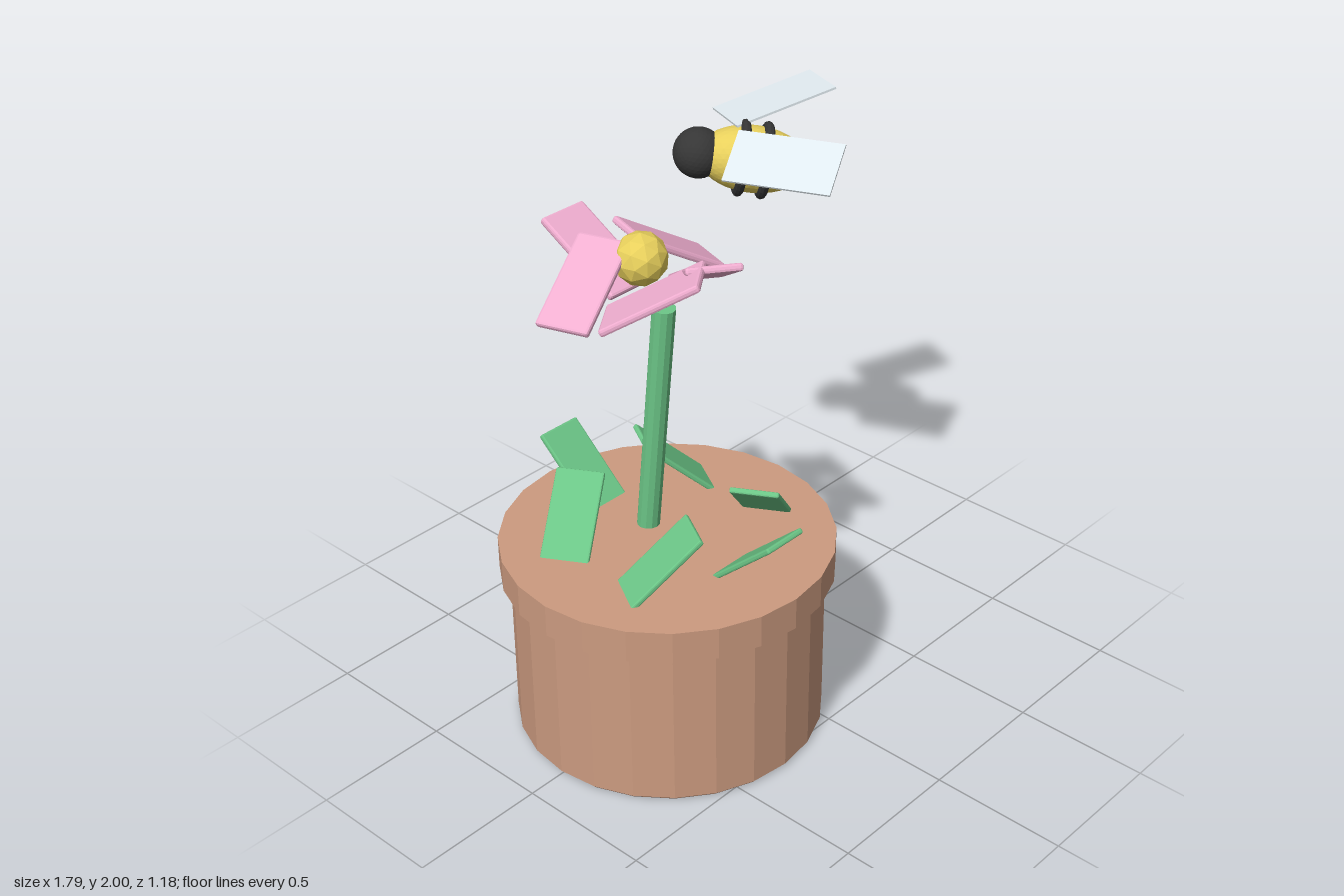
import * as THREE from 'three';
import { RoundedBoxGeometry } from 'three/addons/geometries/RoundedBoxGeometry.js';

const paint = (color) => new THREE.MeshStandardMaterial({ color, flatShading: true });
const clay = paint(0xcc9b80), green = paint(0x6cc687), pink = paint(0xf0aed0);
const yellow = paint(0xe8d05c), black = paint(0x363636), pale = paint(0xdfe9ee);

function add(parent, name, geometry, material, x = 0, y = 0, z = 0) {
  const mesh = new THREE.Mesh(geometry, material);
  mesh.name = name;
  mesh.position.set(x, y, z);
  parent.add(mesh);
  return mesh;
}

// Ring of tilted slabs; each one's raised end points along the mirrored ring angle.
function ring(parent, name, geometry, material, count, start, radius, y, z, tilt) {
  for (let i = 0; i < count; i++) {
    const a = start + (i * 2 * Math.PI) / count;
    const slab = add(parent, name, geometry, material, Math.sin(a) * radius, y, z + Math.cos(a) * radius);
    slab.rotation.set(-tilt, -a, 0, 'YXZ');
  }
}

// Thin wing laid along two edge vectors.
function wing(parent, name, centre, along, across) {
  const z = new THREE.Vector3(...along), x = new THREE.Vector3(...across);
  const mesh = add(parent, name, new THREE.BoxGeometry(x.length(), 0.008, z.length()), pale, ...centre);
  z.normalize();
  x.normalize();
  const y = z.clone().cross(x).normalize();
  x.crossVectors(y, z);
  mesh.quaternion.setFromRotationMatrix(new THREE.Matrix4().makeBasis(x, y, z));
}

export function createModel() {
  const root = new THREE.Group();
  root.name = 'flowerPotWithBee';

  const plant = new THREE.Group();
  plant.name = 'pottedFlower';
  plant.position.x = -0.305;
  root.add(plant);

  // Pot with rim, closed on top
  const profile = [[0, 0], [0.543, 0], [0.554, 0.012], [0.554, 0.62], [0.59, 0.62], [0.59, 0.74], [0, 0.74]]
    .map(([r, y]) => new THREE.Vector2(r, y));
  add(plant, 'pot', new THREE.LatheGeometry(profile, 24), clay);

  // Leaning stem
  const stem = add(plant, 'stem', new THREE.CylinderGeometry(0.041, 0.041, 1.03, 12), green, 0, 1.113, -0.053);
  stem.rotation.x = 0.105;

  // Leaves and petals
  ring(plant, 'leaf', new RoundedBoxGeometry(0.173, 0.02, 0.495, 1, 0.006), green, 6, 0, 0.354, 0.785, 0, 0.735);
  ring(plant, 'petal', new RoundedBoxGeometry(0.19, 0.027, 0.37, 1, 0.009), pink, 5, Math.PI / 5, 0.21, 1.73, -0.1, 0.52);
  add(plant, 'flowerCentre', new THREE.IcosahedronGeometry(0.093, 1), yellow, 0, 1.77, -0.1);

  // Bee body, tail along local +z
  const bee = new THREE.Group();
  bee.name = 'bee';
  bee.position.set(0.495, 1.79, -0.322);
  bee.rotation.set(0.15, Math.PI / 4, 0, 'YXZ');
  root.add(bee);
  add(bee, 'beeBody', new THREE.IcosahedronGeometry(1, 6), yellow).scale.set(0.12, 0.12, 0.2);
  add(bee, 'beeHead', new THREE.IcosahedronGeometry(0.092, 5), black, 0, 0, -0.195);
  for (const z of [-0.042, 0.042]) {
    add(bee, 'beeStripe', new THREE.TorusGeometry(0.121, 0.018, 10, 32), black, 0, 0, z);
  }

  // Wings
  wing(root, 'leftWing', [0.673, 1.95, -0.379], [0.356, 0.08, 0.153], [-0.09, 0.012, 0.195]);
  wing(root, 'rightWing', [0.402, 1.873, -0.098], [0.154, 0, 0.357], [0.173, 0.11, -0.075]);

  return root;
}
